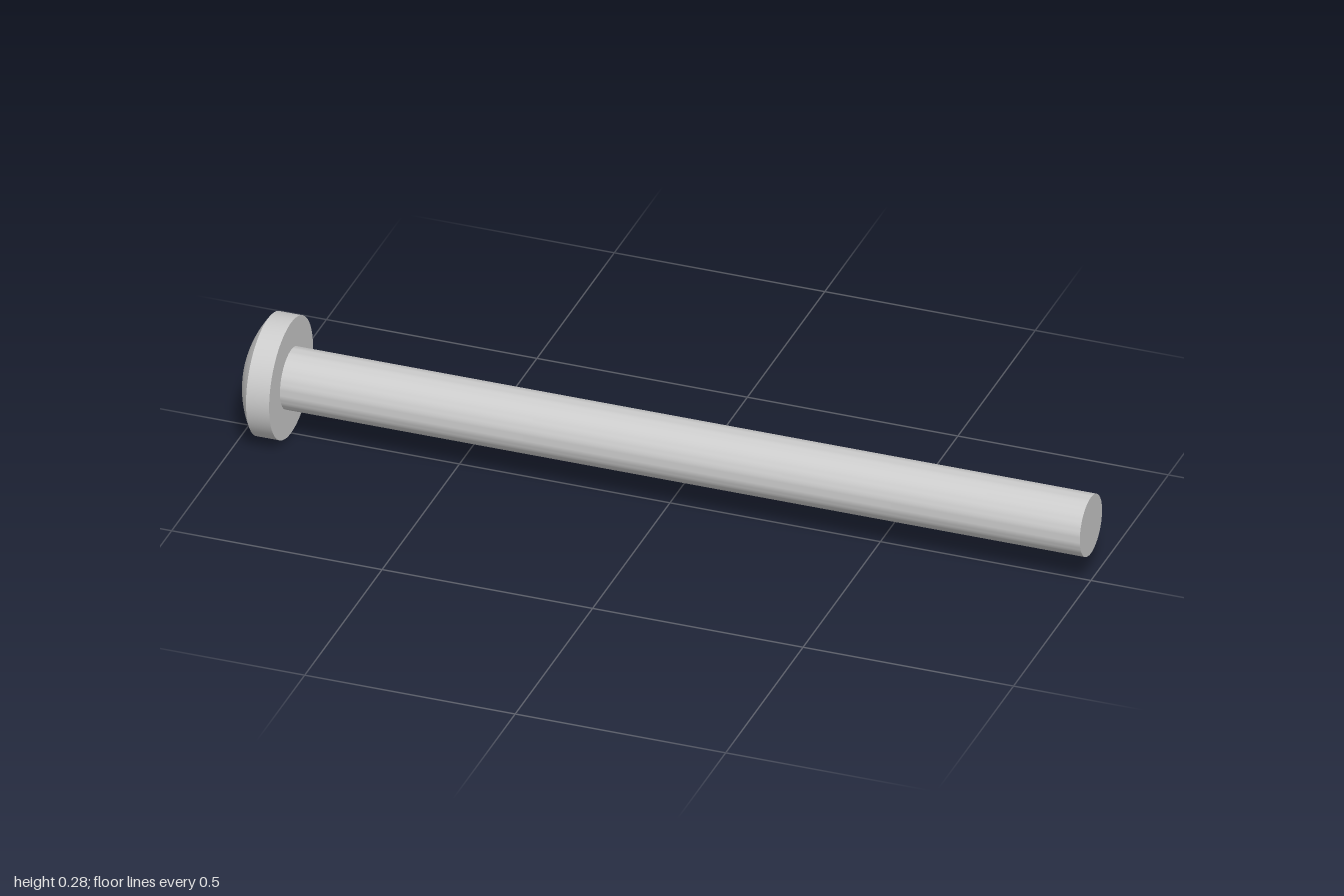
import * as THREE from 'three';
import { toCreasedNormals } from 'three/addons/utils/BufferGeometryUtils.js';

const SEGMENTS = 64;
const HEAD_R = 0.142, SHANK_R = 0.072;
const TIP = -1.001, RIM = -0.955, SEAT = -0.9, END = 1; // positions along the axis
const SLOT_HALF = 0.016, SLOT_REACH = 0.08, SLOT_FLOOR = -0.94;

// Spherical dome: axial position at a given radius
const SAG = RIM - TIP;
const DOME_R = (HEAD_R ** 2 + SAG ** 2) / (2 * SAG);
const domeAt = (r) => TIP + DOME_R - Math.sqrt(DOME_R ** 2 - r * r);

// Radius of the cross-shaped recess outline at a given angle
function crossRadius(angle) {
  const q = Math.PI / 2;
  let a = ((angle % q) + q) % q;
  a = Math.min(a, q - a);
  return a <= Math.atan(SLOT_HALF / SLOT_REACH) + 1e-9
    ? SLOT_REACH / Math.cos(a)
    : SLOT_HALF / Math.sin(a);
}

// Domed face with recess: one profile per angle, floor -> wall -> dome -> rim
function domeGeometry() {
  const angles = [];
  for (let i = 0; i < SEGMENTS; i++) angles.push((i / SEGMENTS) * Math.PI * 2);
  const corner = Math.atan(SLOT_HALF / SLOT_REACH);
  for (let k = 0; k < 4; k++) {
    angles.push(k * Math.PI / 2 + corner, (k + 1) * Math.PI / 2 - corner);
  }
  angles.sort((a, b) => a - b);

  const rings = 10;
  const columns = angles.map((angle) => {
    const rc = crossRadius(angle);
    const profile = [[0, SLOT_FLOOR], [rc, SLOT_FLOOR]];
    for (let j = 0; j <= rings; j++) {
      const r = rc + (HEAD_R - rc) * (j / rings);
      profile.push([r, domeAt(r)]);
    }
    return profile.map(([r, y]) => [r * Math.cos(angle), y, r * Math.sin(angle)]);
  });

  const positions = [];
  columns.forEach((col, i) => {
    const next = columns[(i + 1) % columns.length];
    for (let j = 0; j < col.length - 1; j++) {
      if (j > 0) positions.push(...col[j], ...col[j + 1], ...next[j]);
      positions.push(...col[j + 1], ...next[j + 1], ...next[j]);
    }
  });
  const geometry = new THREE.BufferGeometry();
  geometry.setAttribute('position', new THREE.Float32BufferAttribute(positions, 3));
  return toCreasedNormals(geometry, Math.PI / 6);
}

// Turned part with crisp edges
function turned(profile) {
  const points = profile.map(([r, y]) => new THREE.Vector2(r, y));
  return toCreasedNormals(new THREE.LatheGeometry(points, SEGMENTS), Math.PI / 6);
}

export function createModel() {
  const screw = new THREE.Group();
  screw.name = 'screw';
  const material = new THREE.MeshStandardMaterial({ color: 0xcccccc });

  const add = (name, geometry) => {
    geometry.rotateZ(-Math.PI / 2); // lay the axis along x
    geometry.translate(0, HEAD_R, 0);
    const mesh = new THREE.Mesh(geometry, material);
    mesh.name = name;
    screw.add(mesh);
  };

  add('headDome', domeGeometry());
  add('headRim', turned([[HEAD_R, RIM], [HEAD_R, SEAT], [SHANK_R, SEAT]]));
  add('shank', turned([[SHANK_R, SEAT], [SHANK_R, END], [0, END]]));
  return screw;
}
